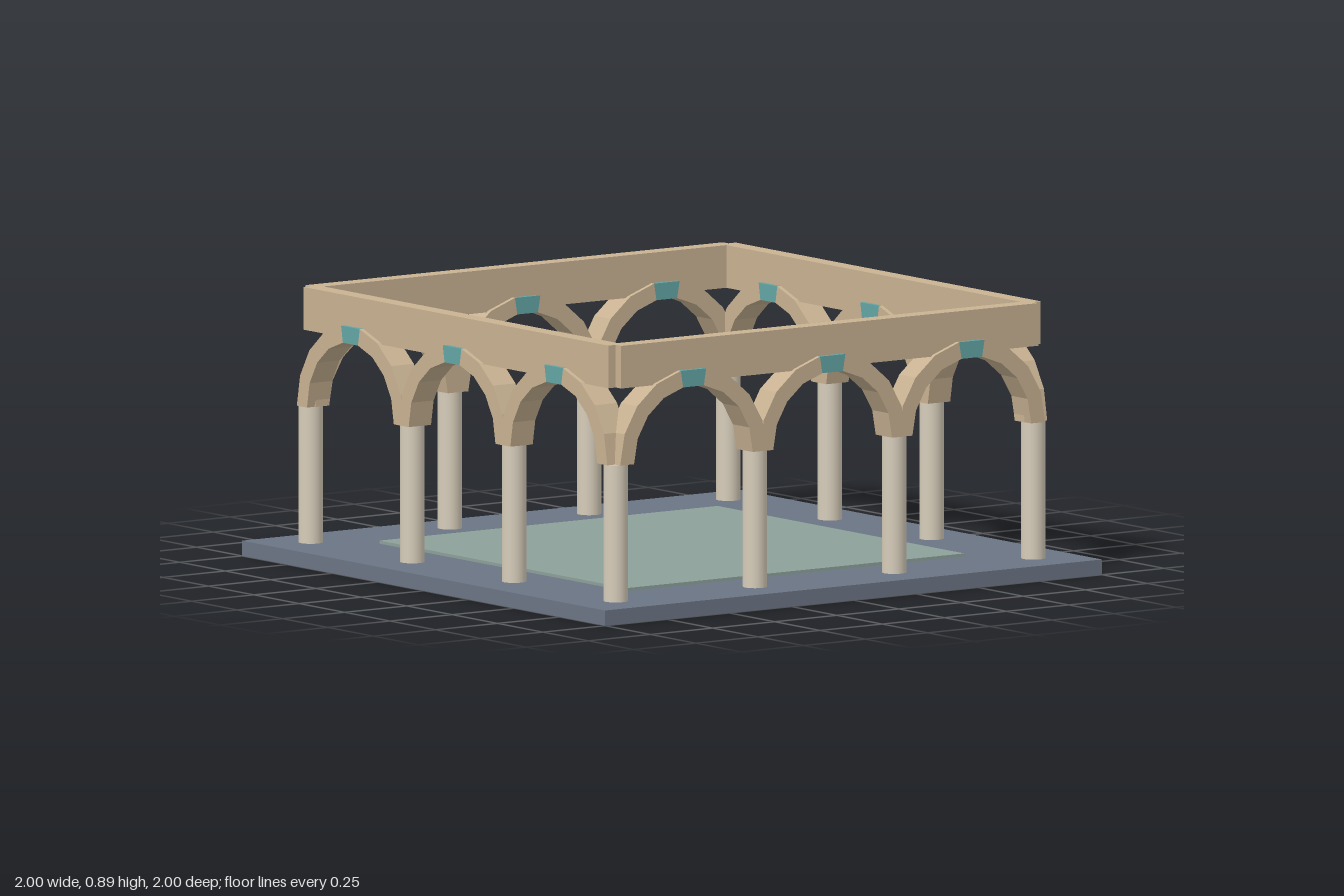
import * as THREE from 'three';

const material = (name, color) => {
  const m = new THREE.MeshStandardMaterial({ color });
  m.name = name;
  return m;
};

export function createModel() {
  const model = new THREE.Group();
  model.name = 'arcadeCourtyard';

  const slate = material('slate', 0x6b7584);
  const paleGreen = material('pale green', 0x8da09a);
  const sandstone = material('sandstone', 0xc8b292);
  const limestone = material('limestone', 0xd6ccb9);
  const teal = material('teal', 0x63a5a5);

  const add = (parent, name, geometry, mat, x = 0, y = 0, z = 0) => {
    const mesh = new THREE.Mesh(geometry, mat);
    mesh.name = name;
    mesh.position.set(x, y, z);
    parent.add(mesh);
    return mesh;
  };

  // Floor and courtyard paving
  add(model, 'base', new THREE.BoxGeometry(2, 0.05, 2), slate, 0, 0.025, 0);
  add(model, 'courtyardFloor', new THREE.BoxGeometry(1.36, 0.01, 1.36), paleGreen, 0, 0.055, 0);

  // Wedge-shaped arch stones, centred on the plane of the arch
  const span = 0.56, edge = 0.84, spring = 0.5;
  const inner = 0.239, outer = 0.295, depth = 0.09, stones = 9;
  const stoneGeometries = [];
  for (let i = 0; i < stones; i++) {
    const a = (i / stones) * Math.PI, b = ((i + 1) / stones) * Math.PI;
    const corner = (r, t) => new THREE.Vector2(r * Math.cos(t), r * Math.sin(t));
    const shape = new THREE.Shape([corner(inner, a), corner(outer, a), corner(outer, b), corner(inner, b)]);
    const geometry = new THREE.ExtrudeGeometry(shape, { depth, bevelEnabled: false });
    geometry.translate(0, 0, -depth / 2);
    stoneGeometries.push(geometry);
  }

  const columnGeometry = new THREE.CylinderGeometry(0.04, 0.04, 0.45, 20);
  const beamGeometry = new THREE.BoxGeometry(edge * 2, 0.14, 0.06);

  // Four identical sides, each owning three columns, three arches and a beam
  for (let s = 0; s < 4; s++) {
    const side = new THREE.Group();
    side.name = ['front', 'left', 'back', 'right'][s] + 'Arcade';
    side.rotation.y = (s * Math.PI) / 2;
    model.add(side);

    for (let k = 0; k < 3; k++) {
      add(side, 'column', columnGeometry, limestone, -edge + k * span, 0.275, edge);

      const arch = new THREE.Group();
      arch.name = 'arch';
      arch.position.set((k - 1) * span, spring, edge);
      side.add(arch);
      stoneGeometries.forEach((geometry, i) => {
        const isKey = i === (stones - 1) / 2;
        add(arch, isKey ? 'keystone' : 'archStone', geometry, isKey ? teal : sandstone);
      });
    }
    add(side, 'beam', beamGeometry, sandstone, 0, 0.82, edge);
  }

  return model;
}
